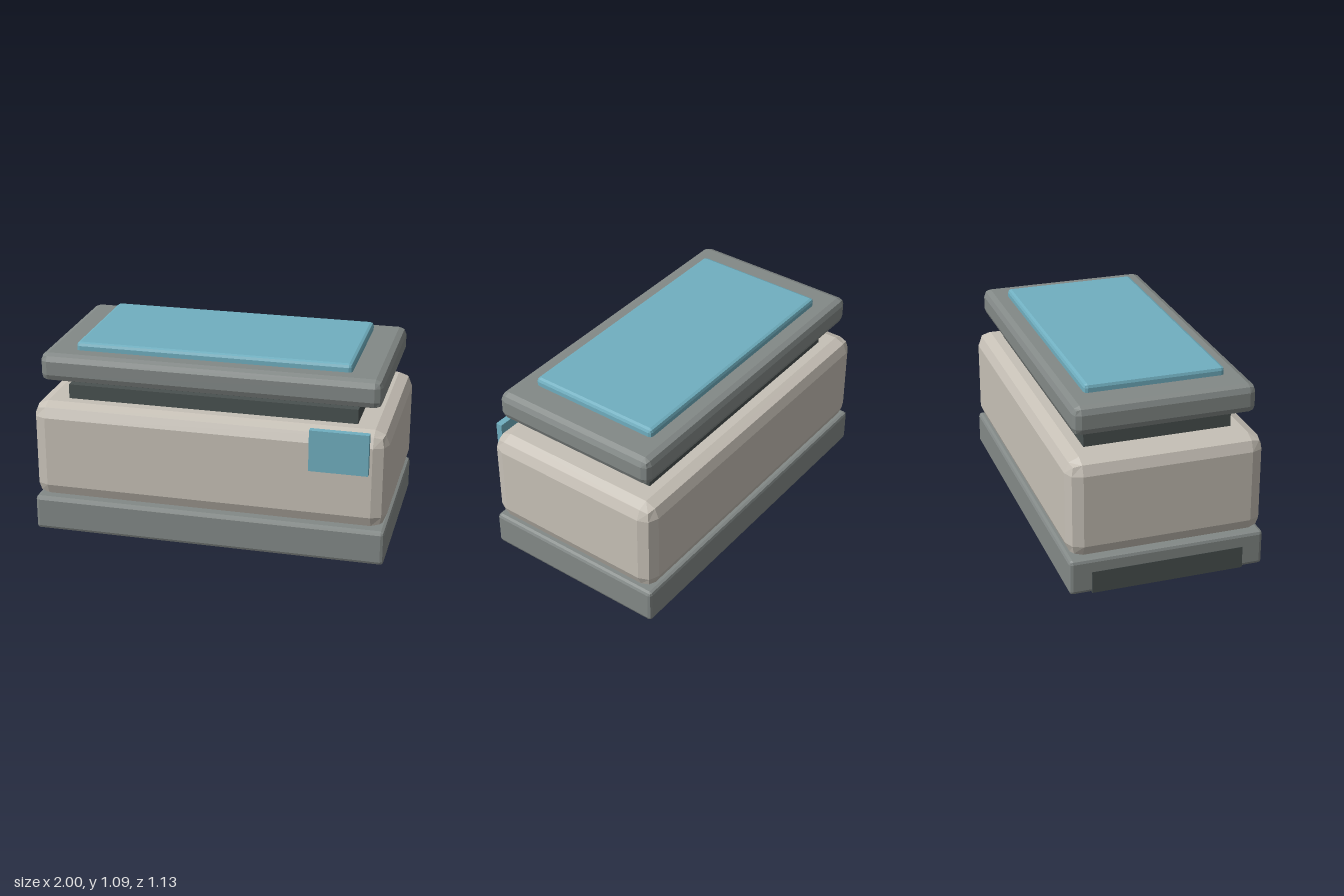
import * as THREE from 'three';
import { RoundedBoxGeometry } from 'three/addons/geometries/RoundedBoxGeometry.js';

function material(name, color) {
  const m = new THREE.MeshStandardMaterial({ color });
  m.name = name;
  return m;
}

export function createModel() {
  const group = new THREE.Group();
  group.name = 'layeredBox';

  const beige = material('warmBeige', 0xc6c0b6);
  const grey = material('slateGrey', 0x838987);
  const dark = material('charcoal', 0x495150);
  const teal = material('softTeal', 0x70afc0);

  // Box given by its limits on each axis, with an optional two-facet bevel
  function block(name, mat, [x0, x1], [y0, y1], [z0, z1], bevel = 0) {
    const size = [x1 - x0, y1 - y0, z1 - z0];
    const geometry = bevel
      ? new RoundedBoxGeometry(...size, 1, bevel)
      : new THREE.BoxGeometry(...size);
    if (bevel) geometry.computeVertexNormals(); // flat facets
    const mesh = new THREE.Mesh(geometry, mat);
    mesh.name = name;
    mesh.position.set((x0 + x1) / 2, (y0 + y1) / 2, (z0 + z1) / 2);
    group.add(mesh);
  }

  // Stacked body, from the floor up
  block('base', grey, [-0.998, 1], [0.002, 0.202], [-0.562, 0.528], 0.02);
  block('body', beige, [-1, 1], [0.202, 0.766], [-0.562, 0.528], 0.08);
  block('neck', dark, [-0.817, 0.817], [0.74, 0.848], [-0.426, 0.392]);
  block('lid', grey, [-0.953, 0.953], [0.885, 1.046], [-0.516, 0.483], 0.042);
  block('topPad', teal, [-0.773, 0.773], [1.0, 1.091], [-0.405, 0.369], 0.02);

  // Small details on the front and on the side of the base
  block('frontPlate', teal, [0.582, 0.905], [0.541, 0.775], [0.528, 0.565]);
  block('sideSlot', dark, [-1, -0.82], [0, 0.125], [-0.44, 0.41]);

  return group;
}
